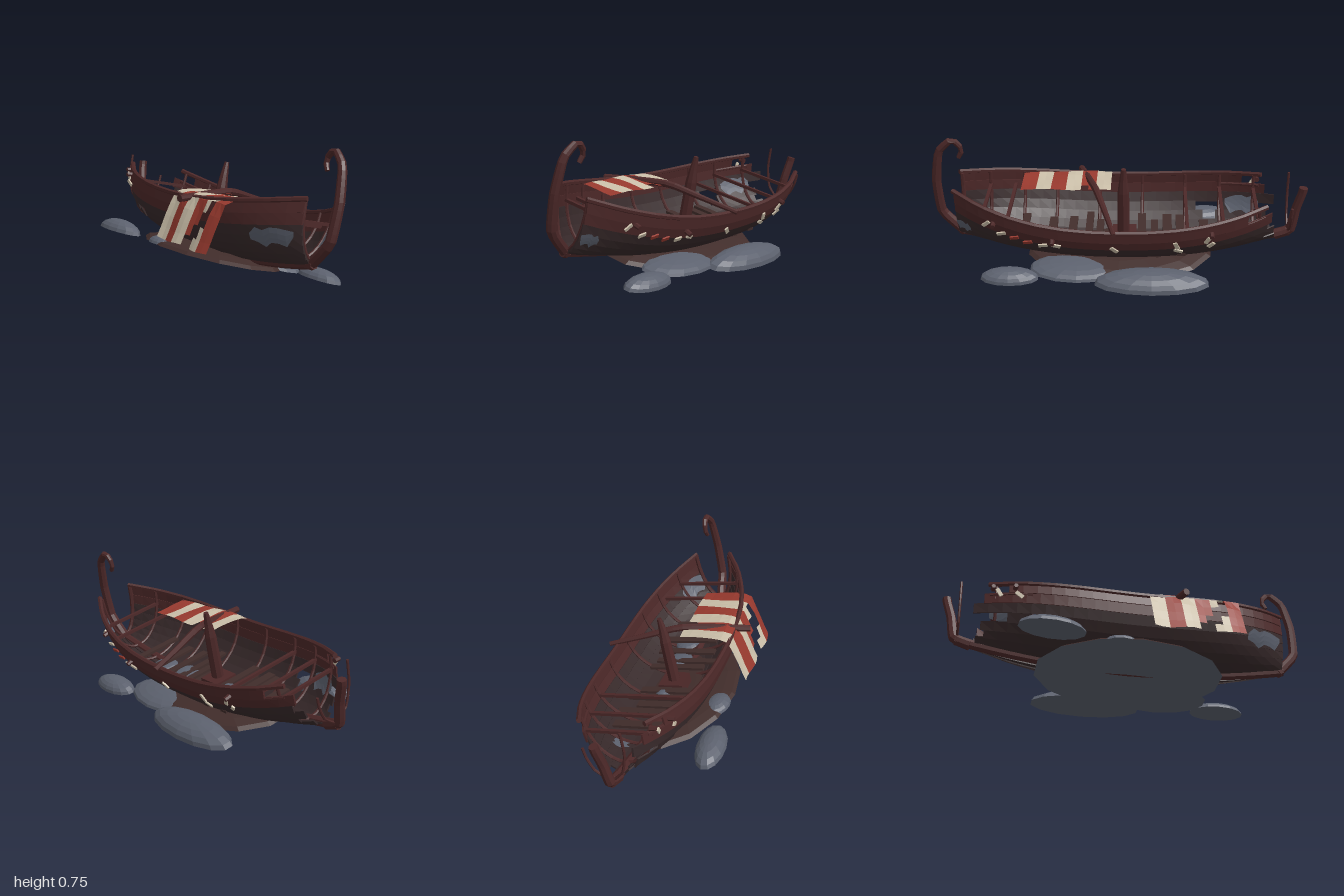
import * as THREE from 'three';

const mat = (name, color, side = THREE.FrontSide) => {
  const m = new THREE.MeshStandardMaterial({ color, side, flatShading: true });
  m.name = name;
  return m;
};
const V = (x, y, z) => new THREE.Vector3(x, y, z);

// Hull lines: half width, keel height and gunwale height along z
const halfWidth = z => 0.32 * (1 - Math.abs(z) ** 3);
const keelY = z => 0.12 * z * z;
const rimY = z => 0.27 + (z > 0 ? 0.16 : 0.14) * z * z;
// Point on the hull; t runs from 0 at the keel to PI/2 at the rim
function hullPoint(z, t, side = 1, off = 0) {
  const w = halfWidth(z), h = rimY(z) - keelY(z);
  const nx = Math.sin(t) / w, ny = -Math.cos(t) / h, n = Math.hypot(nx, ny);
  return V(side * (w * Math.sin(t) + off * nx / n), keelY(z) + h * (1 - Math.cos(t)) + off * ny / n, z);
}

// Skin over a list of rings, each counter-clockwise about the travel direction
function loft(rings) {
  const n = rings[0].length, pos = rings.flat().flatMap(p => [p.x, p.y, p.z]), idx = [];
  for (let i = 0; i < rings.length - 1; i++) for (let j = 0; j < n; j++) {
    const a = i * n + j, b = i * n + (j + 1) % n;
    idx.push(a, b, b + n, a, b + n, a + n);
  }
  const e = (rings.length - 1) * n;
  for (let j = 1; j < n - 1; j++) idx.push(0, j + 1, j, e, e + j, e + j + 1);
  return finish(pos, idx);
}
function finish(pos, idx) {
  let g = new THREE.BufferGeometry();
  g.setAttribute('position', new THREE.Float32BufferAttribute(pos, 3));
  g.setIndex(idx);
  g = g.toNonIndexed();
  g.computeVertexNormals();
  return g;
}
// Round beam along a path, with radii interpolated along its length
function beam(points, radii, sides = 8, steps = points.length * 3) {
  const curve = new THREE.CatmullRomCurve3(points, false, 'catmullrom', 0.2);
  const f = curve.computeFrenetFrames(steps), rings = [];
  for (let i = 0; i <= steps; i++) {
    const c = curve.getPointAt(i / steps), s = i / steps * (radii.length - 1);
    const k = Math.min(Math.floor(s), radii.length - 2);
    const r = radii.length === 1 ? radii[0] : THREE.MathUtils.lerp(radii[k], radii[k + 1], s - k);
    rings.push(Array.from({ length: sides }, (_, j) => {
      const a = j / sides * Math.PI * 2;
      return c.clone().addScaledVector(f.normals[i], r * Math.cos(a)).addScaledVector(f.binormals[i], r * Math.sin(a));
    }));
  }
  return loft(rings);
}

export function createModel() {
  const root = new THREE.Group(), wreck = new THREE.Group();
  root.name = 'shipwreck';
  wreck.name = 'listingShip';
  wreck.rotation.z = -0.21;
  wreck.position.set(-0.01, 0.11, 0);
  root.add(wreck);

  const redWood = mat('red wood', 0x4c2828), darkWood = mat('dark wood', 0x37292a);
  const floorWood = mat('floor wood', 0x412d2b), stone = mat('slate grey', 0x5c616e);
  const patchStone = mat('slate patch', 0x5c616e, THREE.DoubleSide);
  const cream = mat('cream cloth', 0xcbbfa9, THREE.DoubleSide), red = mat('red cloth', 0x97392e, THREE.DoubleSide);
  const add = (name, geo, m, parent = wreck) => {
    const mesh = new THREE.Mesh(geo, m);
    mesh.name = name;
    parent.add(mesh);
    return mesh;
  };

  // Overlapping strakes with ragged stern ends and a breach on the right
  const COUNT = 8, D = Math.PI / 2 / COUNT;
  const sternEnds = [-0.84, -0.79, -0.83, -0.77, -0.82, -0.78, -0.8, -0.67];
  function strake(i, side, z0, z1) {
    const n = Math.ceil((z1 - z0) * 14), rings = [], t0 = i * D - 0.02, t1 = (i + 1) * D;
    for (let k = 0; k <= n; k++) {
      const z = z0 + (z1 - z0) * k / n;
      const ring = [hullPoint(z, t0, side, -0.003), hullPoint(z, t0, side, 0.008), hullPoint(z, t1, side, 0.001), hullPoint(z, t1, side, -0.008)];
      rings.push(side > 0 ? ring : ring.reverse());
    }
    add('strake', loft(rings), i > 5 ? redWood : darkWood);
  }
  for (const side of [1, -1]) for (let i = 0; i < COUNT; i++) {
    const end = sternEnds[(i + (side < 0 && i < 7 ? 3 : 0)) % COUNT];
    if (side < 0 && (i === 3 || i === 4)) {
      strake(i, side, end, i === 3 ? -0.53 : -0.55);
      strake(i, side, i === 3 ? -0.46 : -0.42, 0.87);
    } else strake(i, side, end, 0.87);
  }

  // Gunwale rails and short stern rails
  for (const side of [1, -1]) {
    const rail = (z0, z1, t, off) => Array.from({ length: 12 }, (_, k) => hullPoint(z0 + (z1 - z0) * k / 11, t, side, off));
    add('gunwaleRail', beam(rail(0.875, -0.77, Math.PI / 2, 0), [0.014], 6, 24), redWood);
    add('sternRail', beam(rail(-0.55, -0.76, 1.34, -0.005), [0.01], 6, 6), redWood);
  }

  // Keel with stem and stern posts
  add('keel', beam(Array.from({ length: 13 }, (_, k) => {
    const z = 0.88 - k * 0.15;
    return V(0, keelY(z), z);
  }), [0.025], 8, 18), redWood);
  add('stemPost', beam([[0.08, 0.85], [0.21, 0.965], [0.4, 0.978], [0.57, 0.95], [0.64, 0.875], [0.585, 0.825], [0.535, 0.848]]
    .map(([y, z]) => V(0, y, z)), [0.028, 0.027, 0.026, 0.024, 0.019, 0.012]), redWood);
  add('sternPost', beam([[0.08, -0.84], [0.115, -0.925], [0.24, -0.945], [0.34, -0.972], [0.37, -0.976]]
    .map(([y, z]) => V(0, y, z)), [0.03, 0.027, 0.025, 0.024]), redWood);

  // Curved frames inside the hull
  for (const z of [0.86, 0.72, 0.54, 0.36, 0.12, -0.12, -0.36, -0.55, -0.73]) {
    const pts = Array.from({ length: 13 }, (_, k) => hullPoint(z, Math.abs(k - 6) / 6 * 1.56, k < 6 ? -1 : 1, -0.012));
    add('frame', beam(pts, [z > 0.8 ? 0.012 : 0.009], 6, 18), redWood);
  }
  // Bare frame at the broken stern
  add('bareFrame', beam([V(-0.115, 0.4, -0.91), V(-0.11, 0.28, -0.91), V(-0.075, 0.17, -0.91), V(0, 0.11, -0.91),
    V(0.075, 0.17, -0.91), V(0.1, 0.24, -0.91), V(0.105, 0.3, -0.91)], [0.007], 6), redWood);

  // Cross beams
  for (const z of [-0.73, -0.55, -0.36, 0.59, 0.72]) {
    const w = halfWidth(z) * 0.95;
    add('crossBeam', new THREE.BoxGeometry(2 * w, 0.016, 0.018), redWood).position.set(0, rimY(z) - 0.08, z);
  }
  // Loose floor planks: z, x offset, length, width
  for (const [z, x, l, w] of [[-0.46, 0.04, 0.28, 0.05], [-0.33, 0.03, 0.4, 0.045], [-0.26, -0.03, 0.31, 0.05], [-0.19, 0.05, 0.36, 0.04],
    [-0.12, -0.02, 0.36, 0.045], [0.11, 0.03, 0.32, 0.04], [0.17, -0.02, 0.38, 0.04], [0.26, 0.02, 0.34, 0.045], [0.37, 0.03, 0.32, 0.045], [0.52, 0.01, 0.3, 0.04]])
    add('floorPlank', new THREE.BoxGeometry(l, 0.014, w), floorWood).position.set(x, 0.075 + keelY(z), z);

  // Mast step and splintered mast
  add('mastStep', new THREE.BoxGeometry(0.14, 0.07, 0.13), redWood).position.set(0, 0.055, -0.025);
  add('mast', beam([V(0, 0.05, -0.02), V(0, 0.25, -0.02), V(0, 0.4, -0.02), V(0.004, 0.475, -0.022)], [0.034, 0.033, 0.031, 0.013]), redWood);
  // Fallen yard
  add('yard', beam([V(-0.4, 0.262, 0.23), V(-0.21, 0.3, 0.178), V(-0.03, 0.328, 0.127), V(0.17, 0.305, 0.07), V(0.36, 0.285, 0.02)], [0.019, 0.02, 0.02, 0.016, 0.013]), redWood);

  // Torn striped sail draped over the right rim
  const drape = [[-0.055, 0.315], [-0.11, 0.313], [-0.17, 0.311], [-0.23, 0.308], [-0.285, 0.302], [-0.325, 0.285], [-0.345, 0.22], [-0.362, 0.15], [-0.374, 0.09], [-0.388, 0.035]];
  const torn = new Set(['6,8', '7,8', '6,9', '8,6', '8,7', '7,7', '5,9', '0,3']);
  const sail = { cream: [], red: [] };
  for (let i = 0; i < drape.length - 1; i++) for (let j = 0; j < 12; j++) {
    if (torn.has(`${i},${j}`)) continue;
    const P = (a, b) => [drape[a][0] + 0.008 * Math.sin(b * 1.1) * (a > 5 ? 1 : 0), drape[a][1] + 0.004 * Math.sin(b * 0.9 + a), 0.05 + b * 0.0408];
    const [a, b, c, d] = [P(i, j), P(i, j + 1), P(i + 1, j + 1), P(i + 1, j)];
    sail[(j >> 1) % 2 ? 'red' : 'cream'].push(...a, ...c, ...b, ...a, ...d, ...c);
  }
  for (const [key, m] of [['cream', cream], ['red', red]])
    add(key + 'SailStripes', finish(sail[key], sail[key].slice(0, sail[key].length / 3).map((_, k) => k)), m);

  // Grey patches lying on the planking, inside and outside
  function hullPatch(z0, z1, t0, t1, side, off) {
    const pos = [], idx = [], n = 6;
    for (let k = 0; k <= n; k++) {
      const z = z0 + (z1 - z0) * k / n, wob = 0.06 * Math.sin(k * 2.3), pinch = k % n ? 0 : (t1 - t0) * 0.3;
      for (let j = 0; j <= 3; j++) {
        const p = hullPoint(z, THREE.MathUtils.lerp(t0 + pinch + wob, t1 - pinch + wob * 0.5, j / 3), side, off);
        pos.push(p.x, p.y, p.z);
        if (k < n && j < 3) { const a = k * 4 + j; idx.push(a, a + 1, a + 5, a, a + 5, a + 4); }
      }
    }
    add('greyPatch', finish(pos, idx), patchStone);
  }
  hullPatch(0.62, 0.84, 0.8, 1.1, -1, 0.012);
  hullPatch(0.79, 0.87, 0.75, 1.0, 1, 0.012);
  hullPatch(0.7, 0.86, 0.8, 1.2, 1, -0.012);
  hullPatch(-0.76, -0.58, 0.75, 1.1, -1, -0.012);
  hullPatch(-0.62, -0.54, 0.25, 0.55, 1, -0.012);

  // Flat-bottomed mounds
  function mound(name, x, z, rx, rz, h, m, turn = 0, y = -0.022) {
    const g = new THREE.Group();
    g.name = name;
    g.position.set(x, y, z);
    g.rotation.y = turn;
    g.scale.set(rx, h, rz);
    add(name + 'Top', new THREE.SphereGeometry(1, 14, 5, 0, Math.PI * 2, 0, Math.PI / 2), m, g);
    add(name + 'Base', new THREE.CircleGeometry(1, 14).rotateX(Math.PI / 2), stone, g);
    wreck.add(g);
  }
  mound('seabed', 0, 0, 0.33, 0.51, 0.055, floorWood);
  mound('sideMound', 0.337, -0.175, 0.108, 0.305, 0.075, stone);
  mound('frontMound', 0.3, 0.575, 0.075, 0.155, 0.055, stone);
  mound('rearMound', -0.34, -0.465, 0.08, 0.175, 0.065, stone, 0.1);
  mound('bedPatch', 0.2, 0.22, 0.14, 0.26, 0.045, stone);
  mound('flankPatch', -0.26, -0.1, 0.07, 0.1, 0.045, stone);
  for (const [x, z, r] of [[0.05, 0.2, 0.075], [0.06, 0.38, 0.07], [0.03, -0.14, 0.04]]) mound('deckPatch', x, z, r, r * 1.1, 0.025, stone, 0, 0.062);

  // Shield splinters on the sides: side, z, angle up the hull, tilt, colour
  for (const [side, z, t, tilt, m] of [[1, 0.69, 1.3, 0.7, cream], [1, 0.61, 1.2, 0.2, cream], [1, 0.54, 1.2, 0.15, red], [1, 0.47, 1.17, 0.15, red], [1, 0.39, 1.17, 0.1, cream],
    [1, 0.32, 1.22, -0.3, cream], [1, 0.02, 1.22, -0.8, cream], [1, -0.3, 1.28, -1.2, cream], [1, -0.46, 1.3, 1.1, cream],
    [1, -0.31, 1.12, -0.4, cream], [1, -0.48, 1.15, 0.9, cream], [-1, -0.62, 1.3, 0.6, cream], [-1, -0.72, 1.35, 1, cream]]) {
    const s = add('shieldSplinter', new THREE.BoxGeometry(0.008, 0.02, 0.046), m);
    s.position.copy(hullPoint(z, t, side, 0.017));
    s.rotation.set(tilt, 0, side * (t - Math.PI / 2), 'ZYX');
  }
  // Iron-like wooden bosses holding the splinters
  for (const [side, z, t] of [[1, 0.65, 1.35], [1, 0.34, 1.3], [1, -0.48, 1.4], [-1, -0.64, 1.45], [-1, -0.75, 1.45]])
    add('boss', beam([hullPoint(z, t, side, 0), hullPoint(z, t, side, 0.015), hullPoint(z, t, side, 0.035)], [0.014, 0.012], 6, 3), redWood);

  return root;
}
